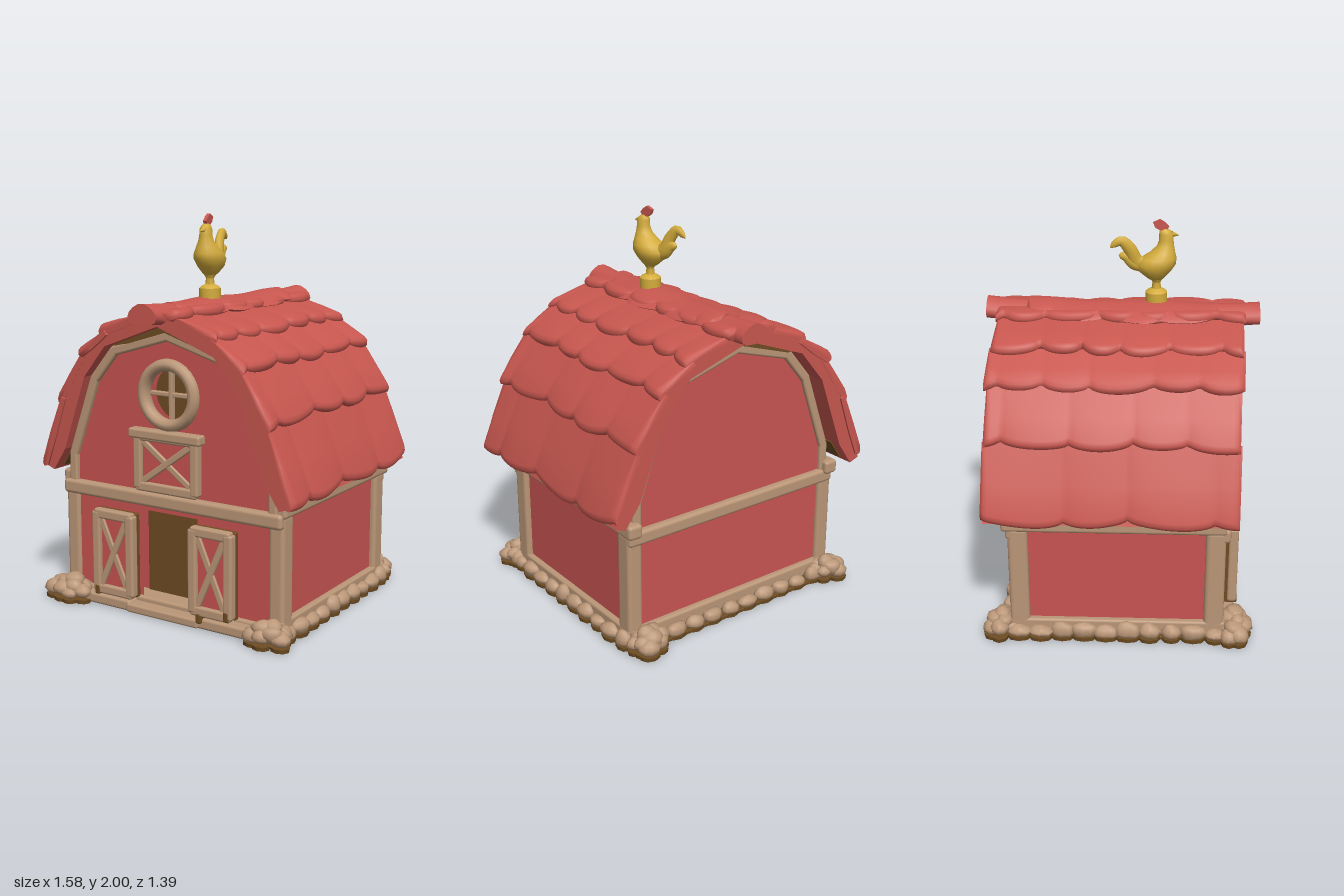
import * as THREE from 'three';
import { toCreasedNormals } from 'three/addons/utils/BufferGeometryUtils.js';
import { RoundedBoxGeometry } from 'three/addons/geometries/RoundedBoxGeometry.js';

const V = (x, y, z) => new THREE.Vector3(x, y, z);
const mat = (name, color) => Object.assign(new THREE.MeshStandardMaterial({ color }), { name });

// Skin a list of closed rings, cap both ends and face the surface outwards
function loft(rings) {
  const n = rings[0].length, pos = [], idx = [];
  rings.forEach(r => r.forEach(p => pos.push(p.x, p.y, p.z)));
  for (let i = 0; i < rings.length - 1; i++) for (let j = 0; j < n; j++) {
    const a = i * n + j, b = i * n + (j + 1) % n;
    idx.push(a, b, b + n, a, b + n, a + n);
  }
  [0, rings.length - 1].forEach((e, k) => {
    const c = rings[e].reduce((s, p) => s.add(p), V(0, 0, 0)).divideScalar(n), ci = pos.length / 3;
    pos.push(c.x, c.y, c.z);
    for (let j = 0; j < n; j++) {
      const a = e * n + j, b = e * n + (j + 1) % n;
      idx.push(ci, k ? a : b, k ? b : a);
    }
  });
  const at = i => V(pos[3 * i], pos[3 * i + 1], pos[3 * i + 2]);
  let vol = 0;
  for (let i = 0; i < idx.length; i += 3) vol += at(idx[i]).dot(at(idx[i + 1]).cross(at(idx[i + 2])));
  if (vol < 0) idx.reverse();
  const g = new THREE.BufferGeometry();
  g.setAttribute('position', new THREE.Float32BufferAttribute(pos, 3));
  g.setIndex(idx);
  g.computeVertexNormals();
  return g;
}

export function createModel() {
  const root = new THREE.Group();
  root.name = 'barn';
  const roofRed = mat('roof red', 0xc8574f), wallRed = mat('wall red', 0xc75452), tan = mat('tan wood and stone', 0xba9677);
  const brown = mat('dark brown', 0x6e4c22), gold = mat('gold', 0xd4ac3c);
  let seed = 7;
  const rnd = () => (seed = (seed * 16807) % 2147483647) / 2147483647;

  const add = (name, g, m, parent = root) => {
    const mesh = new THREE.Mesh(g, m);
    mesh.name = name;
    parent.add(mesh);
    return mesh;
  };
  const box = (name, w, h, d, x, y, z, m = tan, parent = root) => {
    const mesh = add(name, new RoundedBoxGeometry(w, h, d, 2, Math.min(w, h, d) * 0.25), m, parent);
    mesh.position.set(x, y, z);
    return mesh;
  };
  // Board between two points of a plane facing z
  const beam = (name, a, b, w, d, z, parent = root) => {
    const dx = b[0] - a[0], dy = b[1] - a[1];
    const mesh = box(name, Math.hypot(dx, dy) + w * 0.5, w, d, (a[0] + b[0]) / 2, (a[1] + b[1]) / 2, z, tan, parent);
    mesh.rotation.z = Math.atan2(dy, dx);
  };
  const extrude = (pts, depth, z, holes = []) => {
    const s = new THREE.Shape(pts.map(p => new THREE.Vector2(...p)));
    s.holes.push(...holes);
    return new THREE.ExtrudeGeometry(s, { depth, bevelEnabled: false, curveSegments: 24 }).translate(0, 0, z);
  };
  const mirror = half => [...half, ...half.filter(p => p[0] > 0).reverse().map(p => [-p[0], p[1]])];

  // Walls, with a doorway and a round window cut through the front
  const gable = mirror([[0, 1.46], [0.33, 1.355], [0.47, 1.19], [0.62, 0.78], [0.633, 0.64], [0.633, 0.04]]);
  const rect = (x0, y0, x1, y1) => new THREE.Path([[x0, y0], [x0, y1], [x1, y1], [x1, y0]].map(p => new THREE.Vector2(...p)));
  add('walls', extrude(gable, 0.94, -0.52), wallRed);
  const round = new THREE.Path().absarc(0, 1.13, 0.13, 0, Math.PI * 2, true);
  add('frontWall', extrude(gable, 0.095, 0.42, [rect(-0.17, 0.05, 0.165, 0.53), round]), wallRed);
  box('doorwayDark', 0.4, 0.52, 0.008, 0, 0.29, 0.426, brown);
  const glass = add('windowDark', new THREE.CylinderGeometry(0.14, 0.14, 0.008, 28).rotateX(Math.PI / 2), brown);
  glass.position.set(0, 1.13, 0.426);

  // Base
  box('groundPlate', 1.34, 0.02, 1.18, 0, 0.01, -0.01, brown);
  box('foundation', 1.3, 0.06, 1.07, 0, 0.045, 0);
  for (const s of [-1, 1]) box('sideSkirting', 0.05, 0.08, 1.08, s * 0.638, 0.065, 0);
  box('backSkirting', 1.3, 0.08, 0.06, 0, 0.065, -0.52);
  for (const s of [-1, 1]) box('frontSkirting', 0.32, 0.056, 0.11, s * 0.36, 0.031, 0.542);
  box('threshold', 0.44, 0.045, 0.12, 0, 0.026, 0.545);

  // Timber frame
  const trim = [[0.605, 0.62], [0.603, 0.77], [0.455, 1.175], [0.325, 1.328], [0, 1.422]];
  for (const e of [-1, 1]) {
    for (const s of [-1, 1]) {
      box('cornerPost', 0.085, 0.6, 0.1, s * 0.62, 0.32, e * 0.488 - 0.006);
      for (let i = 0; i < 4; i++)
        beam('gableTrim', [s * trim[i][0], trim[i][1]], [s * trim[i + 1][0], trim[i + 1][1]], 0.05, 0.07, e * 0.505);
    }
    box('crossBeam', 1.32, 0.075, 0.09, 0, 0.595, e * 0.51);
  }
  for (const s of [-1, 1]) box('sideBeam', 0.08, 0.075, 1.11, s * 0.635, 0.645, -0.02);

  // Panel with a frame and crossed boards
  const crossPanel = (name, x0, y0, x1, y1, z, w) => {
    const g = new THREE.Group(), h = w / 2;
    g.name = name;
    root.add(g);
    box('panel', x1 - x0 - 0.02, y1 - y0 - 0.02, 0.02, (x0 + x1) / 2, (y0 + y1) / 2, z - 0.008, wallRed, g);
    beam('crossBoard', [x0 + w, y0 + w], [x1 - w, y1 - w], w * 0.7, 0.03, z + 0.002, g);
    beam('crossBoard', [x0 + w, y1 - w], [x1 - w, y0 + w], w * 0.7, 0.028, z, g);
    for (const x of [x0 + h, x1 - h]) beam('stile', [x, y0 + h], [x, y1 - h], w, 0.05, z, g);
    for (const y of [y0 + h, y1 - h]) beam('rail', [x0 + h, y], [x1 - h, y], w, 0.046, z, g);
  };
  crossPanel('leftDoor', 0.165, 0.07, 0.42, 0.52, 0.585, 0.05);
  crossPanel('rightDoor', -0.43, 0.07, -0.17, 0.52, 0.585, 0.05);
  for (const x of [0.2925, -0.3]) box('doorBack', 0.25, 0.44, 0.03, x, 0.295, 0.55, brown);
  for (const [x, y] of [[-0.4, 0.09], [0.39, 0.1], [0.23, 0.06]]) box('doorFoot', 0.03, 0.05, 0.055, x, y, 0.585, brown);
  crossPanel('loftHatch', -0.2, 0.635, 0.19, 0.94, 0.53, 0.048);
  box('hatchLintel', 0.43, 0.05, 0.075, -0.005, 0.93, 0.53);

  // Round window
  const ring = add('windowRing', new THREE.TorusGeometry(0.15, 0.031, 10, 32), tan);
  ring.position.set(0, 1.13, 0.515);
  ring.scale.z = 1.3;
  box('windowBar', 0.27, 0.022, 0.03, 0, 1.13, 0.49);
  box('windowBar', 0.022, 0.27, 0.03, 0, 1.13, 0.492);

  // Roof body, with brown linings under the peak and the eaves, slightly skewed
  const skew = new THREE.Matrix4();
  skew.elements[2] = 0.045;
  const outer = [[0, 1.55], [0.13, 1.51], [0.35, 1.415], [0.5, 1.28], [0.63, 1.03], [0.755, 0.7]];
  const inner = [[0.7, 0.68], [0.618, 0.8], [0.474, 1.19], [0.335, 1.355], [0, 1.475]];
  const halves = (name, pts, len, m) => {
    for (const s of [1, -1])
      add(name, extrude(pts.map(p => [s * p[0], p[1]]), len, -len / 2).applyMatrix4(skew), m);
  };
  halves('roofBody', [...outer, ...inner], 1.22, roofRed);
  halves('peakLining', [[0, 1.48], [0.335, 1.36], [0.3, 1.35], [0, 1.44]], 1.1, brown);
  halves('eaveLining', [[0.69, 0.7], [0.622, 0.8], [0.613, 0.796], [0.683, 0.694]], 1.1, brown);

  // Overlapping shingle rows with scalloped lower edges
  const line = [[0, 1.57], [0.14, 1.535], [0.355, 1.44], [0.515, 1.305], [0.655, 1.06], [0.77, 0.705]];
  const widths = [0.21, 0.22, 0.25, 0.3, 0.36];
  for (const s of [1, -1]) for (let i = 0; i < 5; i++) {
    const [ax, ay] = line[i], [bx, by] = line[i + 1], L = Math.hypot(bx - ax, by - ay);
    const ux = (bx - ax) / L, uy = (by - ay) / L, phase = rnd(), rings = [];
    const half = 0.62 + (rnd() - 0.5) * 0.02, scallop = i < 2 ? 0.055 : 0.038;
    for (let k = 0; k <= 72; k++) {
      const z = half * (k / 36 - 1), t = (z + 0.03 * Math.sin(z * 8 + i * 2 + s)) / widths[i] + phase;
      const arch = Math.sqrt(Math.abs(Math.sin(Math.PI * t)));
      const end = L - 0.75 * scallop + scallop * arch + 0.008 * Math.sin(z * 9 + i);
      const lift = 0.012 * arch + 0.005 * Math.sin(z * 6 + 3 * i) - (k % 72 ? 0 : 0.014);
      const section = [[-0.02, -0.02], [L * 0.5, 0.001 + lift * 0.6], [end - 0.035, 0.009 + lift], [end - 0.012, 0.006 + lift],
        [end + 0.002, -0.006 + lift * 0.5], [end, -0.02], [end - 0.012, -0.034], [L * 0.5, -0.045], [-0.02, -0.05]];
      rings.push(section.map(([u, n]) => V(s * (ax + ux * u - uy * n), ay + uy * u + ux * n, z)));
    }
    add('shingleRow', toCreasedNormals(loft(rings).applyMatrix4(skew), 1.2), roofRed);
  }

  // Ridge log and the scalloped caps around it
  const arched = (len, steps, width, top, thick) => {
    const rings = [];
    for (let k = 0; k <= steps; k++) {
      const z = len * (2 * k / steps - 1), w = width(z), r = [];
      for (let j = 0; j < 14; j++) {
        const a = j / 14 * Math.PI * 2, x = Math.cos(a) * w;
        r.push(V(x - 0.04 * z, top(z) - thick / 2 + Math.sin(a) * thick / 2 - Math.abs(x) * 0.25, z));
      }
      rings.push(r);
    }
    return toCreasedNormals(loft(rings), 1.2);
  };
  add('ridgeLog', arched(0.69, 24, z => 0.07 + 0.015 * Math.abs(z) / 0.69, z => 1.578 + 0.016 * Math.pow(z / 0.69, 4), 0.1), roofRed);
  const capWidth = z => 0.06 + Math.sqrt(1 - Math.pow(z / 0.48, 8)) * (0.045 + 0.04 * Math.exp(-Math.pow((z - 0.15) / 0.12, 2))
    + 0.045 * Math.sqrt(Math.abs(Math.sin(Math.PI * (z / 0.27 + 0.3)))));
  add('ridgeCaps', arched(0.48, 64, capWidth, z => 1.59 + 0.006 * Math.sin(z * 11), 0.055), roofRed);

  // Stones heaped at the corners and strung along the sides and back, low ones bedded in dirt
  const stone = (x, y, z, a, b, c) => {
    const g = new THREE.SphereGeometry(1, 10, 7), p = g.attributes.position, q = rnd() * 6;
    for (let i = 0; i < p.count; i++) {
      const v = V(0, 0, 0).fromBufferAttribute(p, i);
      v.multiplyScalar(1 + 0.1 * Math.sin(3 * v.x + q) * Math.cos(4 * v.z + q) + 0.06 * Math.sin(5 * v.y + q));
      p.setXYZ(i, v.x * a, v.y * b, v.z * c);
    }
    g.computeVertexNormals();
    add('stone', g, tan).position.set(x, Math.max(y, b * 1.08 + 0.004), z);
    if (y < 0.075) add('dirt', new THREE.CylinderGeometry(1, 0.95, 0.02, 8).scale(a * 0.95, 1, c * 0.95), brown).position.set(x, 0.01, z);
  };
  for (const [cx, cz, n, r] of [[-0.59, 0.59, 13, 0.115], [0.62, 0.585, 11, 0.085], [0.58, -0.595, 12, 0.09], [-0.625, -0.59, 9, 0.075]]) {
    for (let i = 0; i < n; i++) {
      const a = i * 2.4, d = Math.sqrt((i + 0.5) / n), k = 0.038 + rnd() * 0.014;
      stone(cx + Math.cos(a) * d * r, 0.045 + (1 - d) * 0.07, cz + Math.sin(a) * d * 0.06, k * 1.15, k * 0.85, k);
    }
  }
  for (let i = 0; i < 10; i++) {
    const t = -0.5 + i * 0.11;
    for (const s of [-1, 1]) stone(s * 0.668, 0.042, t, 0.036 + rnd() * 0.012, 0.03 + rnd() * 0.016, 0.05 + rnd() * 0.02);
    stone(t * 1.05, 0.038, -0.575, 0.05 + rnd() * 0.015, 0.026 + rnd() * 0.014, 0.04);
  }

  // Weathervane rooster on a turned stand
  const bird = new THREE.Group();
  bird.name = 'rooster';
  bird.position.set(0.01, 0, 0.17);
  bird.rotation.y = 0.15;
  root.add(bird);
  const stand = [[0, 1.58], [0.055, 1.58], [0.055, 1.63], [0.045, 1.64], [0.024, 1.65], [0.02, 1.68], [0.035, 1.705], [0, 1.72]];
  add('stand', toCreasedNormals(new THREE.LatheGeometry(stand.map(p => new THREE.Vector2(...p)), 20), 0.7), gold, bird);
  const oval = (y, z, rx, rz) => Array.from({ length: 16 }, (_, j) => {
    const a = j / 16 * Math.PI * 2;
    return V(Math.cos(a) * rx, y, z + Math.sin(a) * rz);
  });
  const slices = [[1.685, 0, 0.015, 0.018], [1.705, -0.005, 0.04, 0.045], [1.74, -0.01, 0.066, 0.083], [1.775, -0.002, 0.079, 0.1],
    [1.805, 0.01, 0.074, 0.09], [1.835, 0.03, 0.056, 0.062], [1.865, 0.043, 0.04, 0.044], [1.895, 0.047, 0.032, 0.036],
    [1.925, 0.046, 0.031, 0.036], [1.943, 0.042, 0.023, 0.028], [1.953, 0.04, 0.008, 0.01]];
  add('body', loft(slices.map(q => oval(...q))), gold, bird);
  const beak = add('beak', new THREE.ConeGeometry(0.017, 0.04, 8).rotateX(Math.PI / 2 + 0.15), gold, bird);
  beak.position.set(0, 1.92, 0.093);

  // Curving tail feathers that taper to a tip
  const feather = (pts, r) => {
    const c = new THREE.CatmullRomCurve3(pts.map(p => V(...p))), rings = [];
    for (let i = 0; i <= 14; i++) {
      const t = i / 14, p = c.getPoint(t), d = c.getTangent(t), n = V(0, d.z, -d.y).normalize();
      const k = r * (0.12 + Math.sqrt(Math.max(0, 1 - t * t)));
      rings.push(Array.from({ length: 10 }, (_, j) => {
        const a = j / 10 * Math.PI * 2;
        return p.clone().addScaledVector(n, Math.cos(a) * k).add(V(Math.sin(a) * k * 0.7, 0, 0));
      }));
    }
    add('tailFeather', loft(rings), gold, bird);
  };
  feather([[0, 1.77, -0.04], [0, 1.79, -0.1], [-0.01, 1.855, -0.135], [-0.015, 1.9, -0.18], [-0.015, 1.87, -0.235]], 0.033);
  feather([[0, 1.77, -0.05], [0, 1.78, -0.11], [0, 1.815, -0.15], [0, 1.825, -0.19]], 0.032);

  // Comb
  const comb = [[0.045, 1.94], [0.06, 1.965], [0.04, 1.985], [0.015, 2.0], [-0.02, 1.985], [-0.01, 1.96], [0.015, 1.945]];
  add('comb', extrude(comb, 0.018, -0.009).rotateY(-Math.PI / 2), roofRed, bird);
  return root;
}
